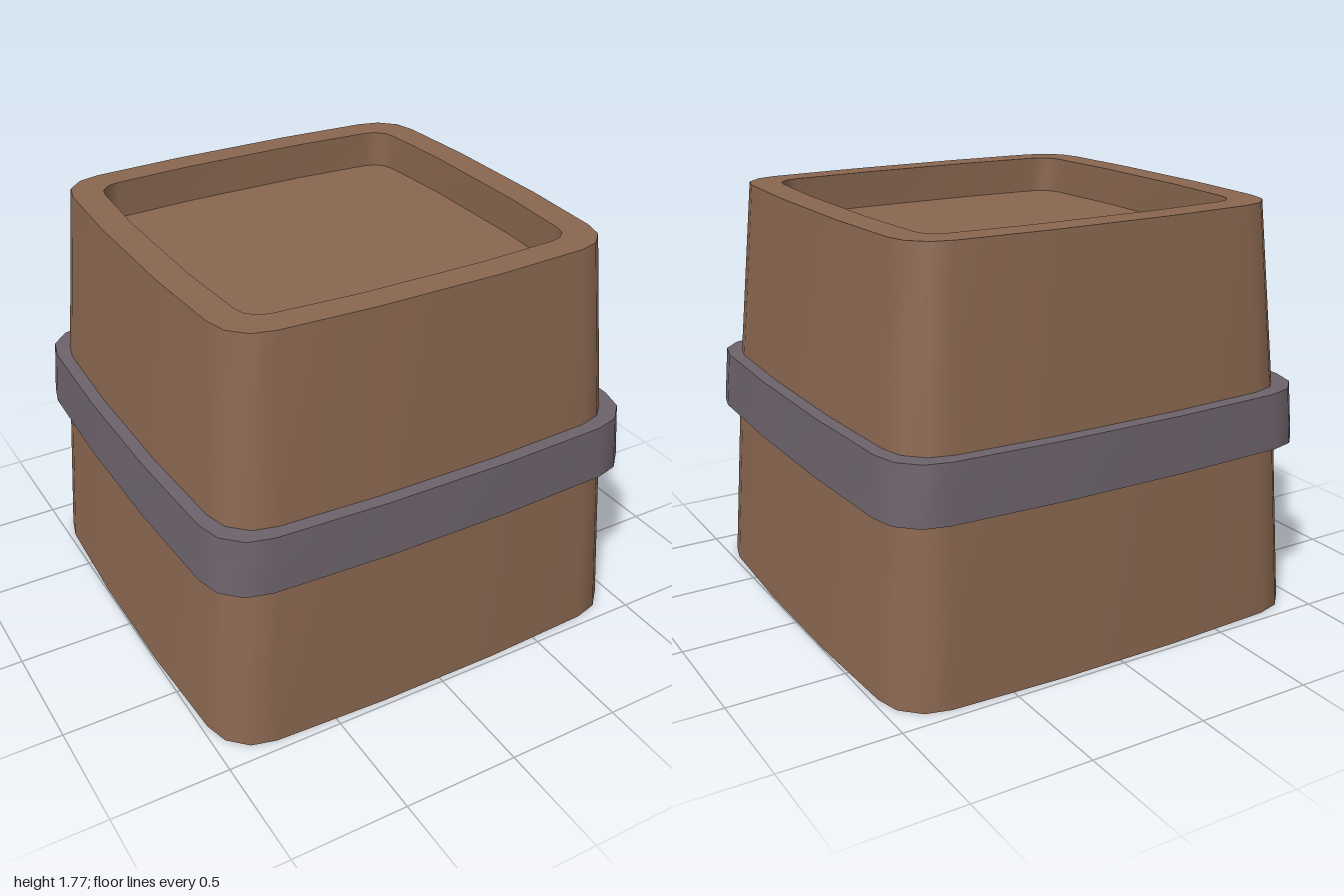
import * as THREE from 'three';

const wood = new THREE.MeshStandardMaterial({ color: 0x8a6750 });
wood.name = 'brown wood';
const iron = new THREE.MeshStandardMaterial({ color: 0x6d636b });
iron.name = 'grey iron';

// Rounded square with slightly bowed sides, running from +x towards +z.
function outline(hx, hz, corner) {
  if (hx === 0) return Array.from({ length: 24 }, () => [0, 0]);
  const bow = 0.02, flat = 0.27, r = corner - bow;
  const quarter = [[hx, flat]];
  for (let i = 0; i <= 3; i++) {
    const a = (i / 3) * Math.PI / 2;
    quarter.push([hx - corner + r * Math.cos(a), hz - corner + r * Math.sin(a)]);
  }
  quarter.push([flat, hz]);
  const mirrored = (sx, sz) => quarter.map(([x, z]) => [x * sx, z * sz]);
  return [
    ...quarter,
    ...mirrored(-1, 1).reverse(),
    ...mirrored(-1, -1),
    ...mirrored(1, -1).reverse(),
  ];
}

// Joins successive rings [halfX, halfZ, y, corner]; every ring is a sharp edge,
// while the surface stays smooth around the outline.
function loft(rings) {
  const pos = [], index = [];
  for (let k = 0; k < rings.length - 1; k++) {
    const base = pos.length / 3;
    for (const [hx, hz, y, corner] of [rings[k], rings[k + 1]]) {
      for (const [x, z] of outline(hx, hz, corner)) pos.push(x, y, z);
    }
    const n = 24;
    for (let i = 0; i < n; i++) {
      const j = (i + 1) % n;
      const a = base + i, b = base + j, c = a + n, d = b + n;
      index.push(a, c, b, b, c, d);
    }
  }
  const geo = new THREE.BufferGeometry();
  geo.setAttribute('position', new THREE.Float32BufferAttribute(pos, 3));
  geo.setIndex(index);
  geo.computeVertexNormals();
  return geo;
}

export function createModel() {
  const model = new THREE.Group();
  model.name = 'bandedPost';

  // Tapered block: underside, sides, rim, recess wall and recess floor
  const body = new THREE.Mesh(loft([
    [0, 0, 0, 0],
    [0.995, 0.975, 0, 0.23],
    [0.937, 0.928, 0.88, 0.22],
    [0.865, 0.85, 1.77, 0.2],
    [0.738, 0.727, 1.77, 0.12],
    [0.738, 0.727, 1.61, 0.12],
    [0, 0, 1.61, 0],
  ]), wood);
  body.name = 'body';
  model.add(body);

  // Band wrapped around the middle
  const band = new THREE.Mesh(loft([
    [0.9, 0.89, 0.76, 0.21],
    [1.0, 0.987, 0.76, 0.23],
    [0.982, 0.975, 1.0, 0.23],
    [0.9, 0.89, 1.0, 0.21],
  ]), iron);
  band.name = 'band';
  model.add(band);

  return model;
}
